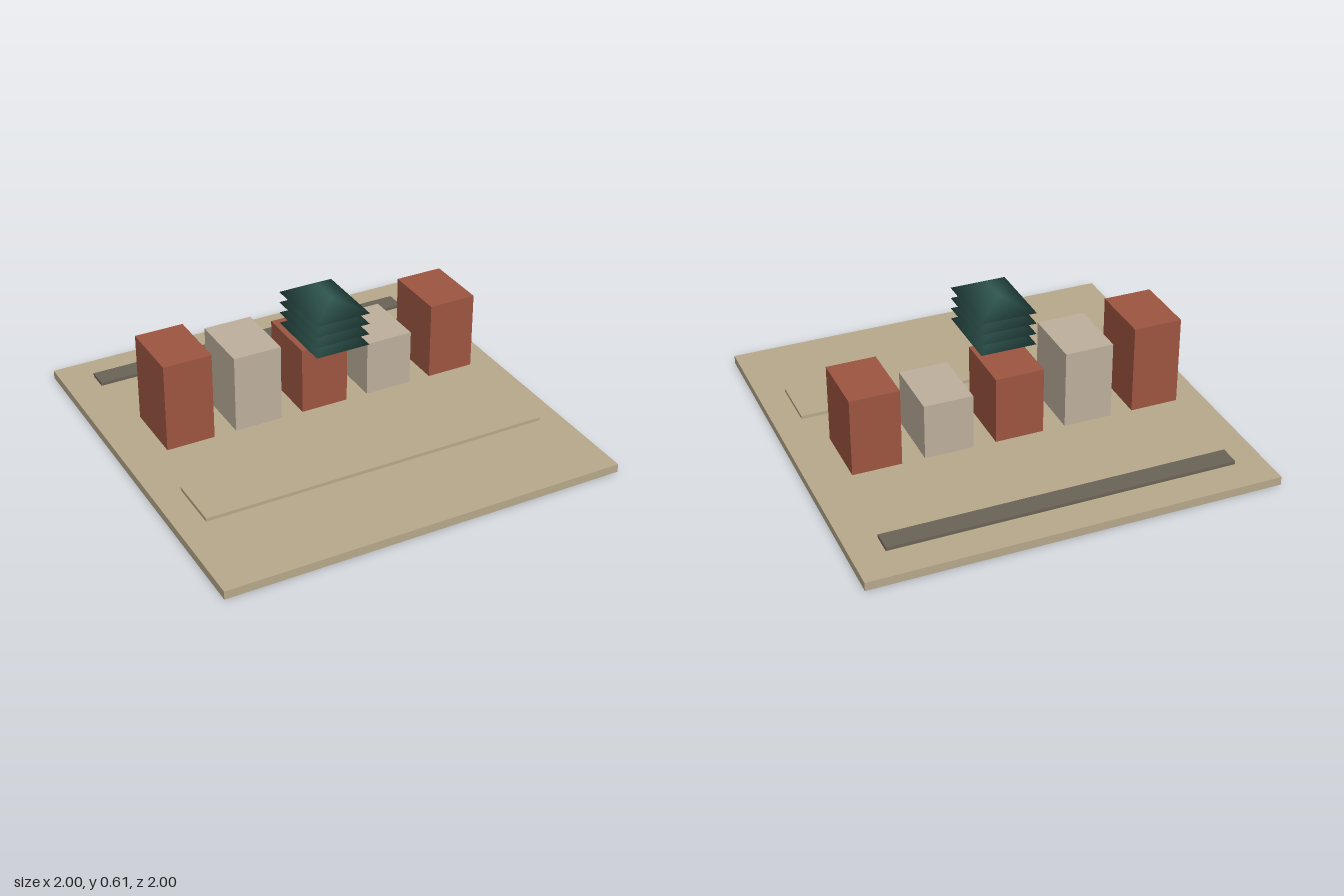
import * as THREE from 'three';

const material = (color) => new THREE.MeshStandardMaterial({ color });
const sand = material(0xb5a78a);
const brick = material(0x9c5540);
const stone = material(0xbcae9c);
const asphalt = material(0x6a6256);
const roofGreen = material(0x2f5650);

// Box given by its centre in plan and its lower and upper heights
function slab(name, mat, w, d, y0, y1, x, z) {
  const mesh = new THREE.Mesh(new THREE.BoxGeometry(w, y1 - y0, d), mat);
  mesh.position.set(x, (y0 + y1) / 2, z);
  mesh.name = name;
  return mesh;
}

// Closed hip roof with its ridge along z; shared corners give soft shading
function hipRoof(w, d, h, ridge) {
  const x = w / 2, z = d / 2, r = ridge / 2;
  const geometry = new THREE.BufferGeometry();
  geometry.setAttribute('position', new THREE.Float32BufferAttribute([
    -x, 0, -z, x, 0, -z, x, 0, z, -x, 0, z, 0, h, -r, 0, h, r,
  ], 3));
  geometry.setIndex([
    0, 4, 1, 2, 5, 3, // hips
    1, 4, 5, 1, 5, 2, // right slope
    3, 5, 4, 3, 4, 0, // left slope
    0, 1, 2, 0, 2, 3, // underside
  ]);
  geometry.computeVertexNormals();
  return geometry;
}

export function createModel() {
  const model = new THREE.Group();
  model.name = 'cityBlock';

  // Everything sits on a square plot turned slightly about the vertical
  const plot = new THREE.Group();
  plot.name = 'plot';
  plot.rotation.y = -0.22;
  model.add(plot);

  plot.add(slab('ground', sand, 1.675, 1.675, 0, 0.035, 0, 0));
  plot.add(slab('frontTerrace', sand, 1.46, 0.227, 0.052, 0.066, 0, 0.343));
  plot.add(slab('backRoad', asphalt, 1.42, 0.087, 0.044, 0.058, 0, -0.661));

  // Row of five buildings in alternating colours
  [0.455, 0.41, 0.365, 0.317, 0.41].forEach((top, i) => {
    plot.add(slab('building' + (i + 1), i % 2 ? stone : brick,
      0.2, 0.27, 0.085, top, (i - 2) * 0.2925, -0.13));
  });

  // Four stacked roof tiers
  const tower = new THREE.Group();
  tower.name = 'tieredRoof';
  const tier = hipRoof(0.23, 0.316, 0.055, 0.12);
  for (let i = 0; i < 4; i++) {
    const mesh = new THREE.Mesh(tier, roofGreen);
    mesh.name = 'roofTier' + (i + 1);
    mesh.position.y = 0.416 + i * 0.046;
    tower.add(mesh);
  }
  plot.add(tower);

  return model;
}
